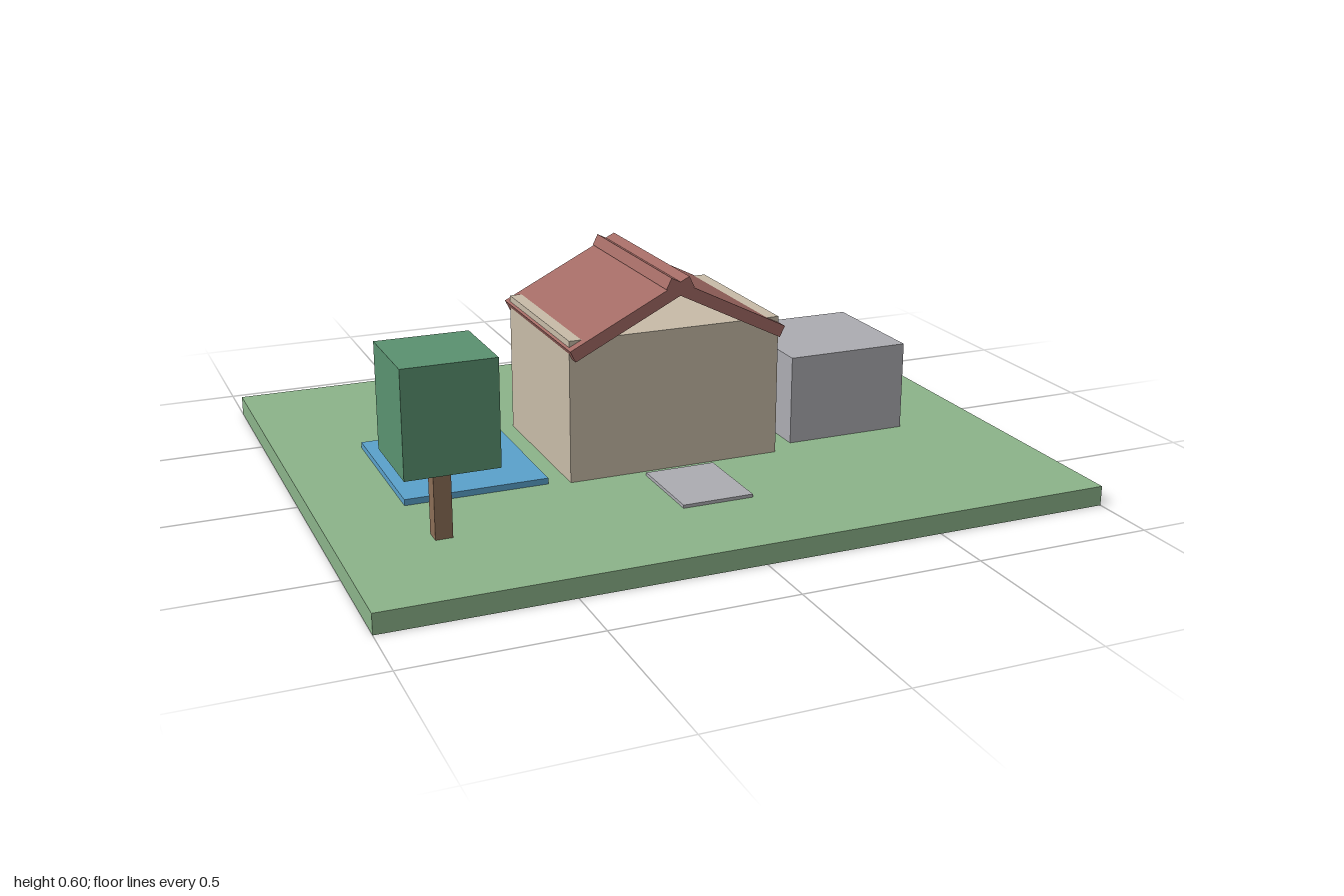
import * as THREE from 'three';

export function createModel() {
  const root = new THREE.Group();
  root.name = 'houseWithYard';

  const mat = (name, color) => {
    const m = new THREE.MeshStandardMaterial({ color });
    m.name = name;
    return m;
  };
  const grass = mat('grass', 0x8cb48a);
  const wall = mat('wall', 0xc8bca8);
  const tile = mat('roofTile', 0xa26a64);
  const concrete = mat('concrete', 0xacacb2);
  const wood = mat('wood', 0x8c6e56);
  const leaf = mat('leaf', 0x5a9270);
  const water = mat('water', 0x5ba2cc);
  const glass = mat('glass', 0x76b0c2);
  const paint = mat('carPaint', 0xc8524c);
  const rubber = mat('rubber', 0x363a42);

  // Box given by its extents along each axis
  const box = (parent, name, material, [x0, x1], [y0, y1], [z0, z1]) => {
    const mesh = new THREE.Mesh(new THREE.BoxGeometry(x1 - x0, y1 - y0, z1 - z0), material);
    mesh.position.set((x0 + x1) / 2, (y0 + y1) / 2, (z0 + z1) / 2);
    mesh.name = name;
    parent.add(mesh);
    return mesh;
  };
  const group = (name) => {
    const g = new THREE.Group();
    g.name = name;
    root.add(g);
    return g;
  };

  const G = 0.055; // lawn level
  box(root, 'lawn', grass, [-1, 1], [0, G], [-0.817, 0.817]);
  box(root, 'pool', water, [-0.765, -0.367], [G, 0.072], [-0.235, 0.23]);
  box(root, 'path', concrete, [-0.1, 0.1], [G, 0.064], [0.275, 0.526]);

  // House: walls, two crossing roof slabs, door and windows at the back
  const house = group('house');
  box(house, 'walls', wall, [-0.308, 0.308], [G, 0.454], [-0.245, 0.245]);
  for (const s of [-1, 1]) {
    const slab = new THREE.Mesh(new THREE.BoxGeometry(0.381, 0.034, 0.544), tile);
    slab.position.set(s * 0.137, 0.503, 0);
    slab.rotation.z = -s * Math.atan(0.5);
    slab.name = s > 0 ? 'leftRoof' : 'rightRoof';
    house.add(slab);
    box(house, 'window', glass, [s * 0.19 - 0.049, s * 0.19 + 0.049], [0.25, 0.35], [-0.262, -0.244]);
  }
  box(house, 'door', wood, [-0.061, 0.061], [0.063, 0.29], [-0.258, -0.244]);

  // Garage with its door at the back
  const garage = group('garage');
  box(garage, 'garageWalls', concrete, [0.38, 0.743], [G, 0.31], [-0.165, 0.198]);
  box(garage, 'garageDoor', wood, [0.432, 0.686], [0.083, 0.284], [-0.181, -0.164]);

  // Tree
  const tree = group('tree');
  box(tree, 'trunk', wood, [-0.753, -0.707], [G, 0.263], [0.432, 0.478]);
  box(tree, 'crown', leaf, [-0.851, -0.607], [0.262, 0.543], [0.333, 0.576]);

  // Car
  const car = group('car');
  box(car, 'carBody', paint, [0.35, 0.597], [0.085, 0.166], [-0.433, -0.294]);
  box(car, 'cabin', glass, [0.396, 0.526], [0.166, 0.223], [-0.424, -0.318]);
  for (const x of [0.387, 0.553])
    for (const z of [-0.432, -0.294])
      box(car, 'wheel', rubber, [x - 0.029, x + 0.029], [0.063, 0.121], [z - 0.014, z + 0.014]);

  return root;
}
